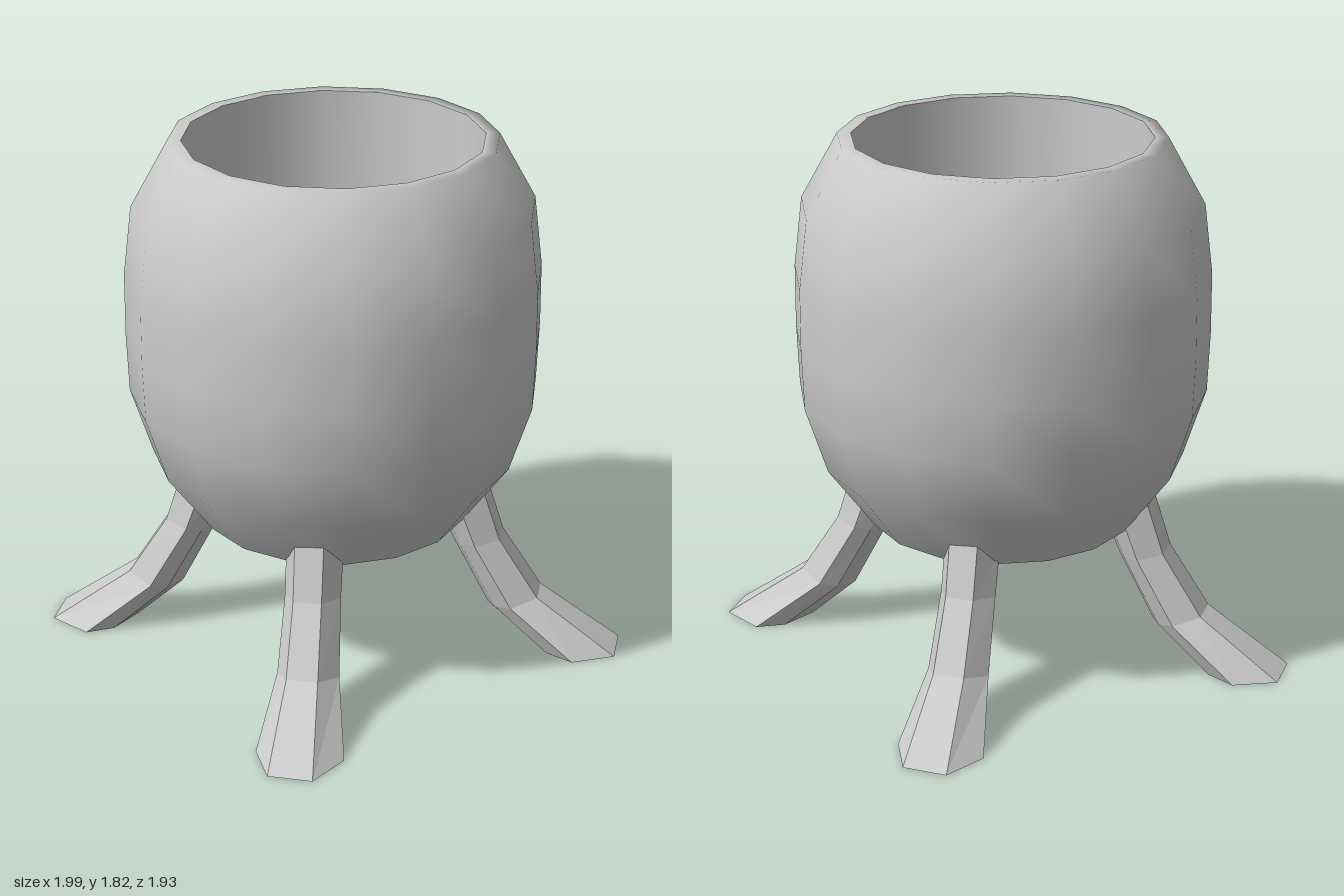
import * as THREE from 'three';

const material = new THREE.MeshStandardMaterial({ color: 0xcccccc });
const flatMaterial = new THREE.MeshStandardMaterial({ color: 0xcccccc, flatShading: true });
const SIDES = 16;

// 16-sided turned surface with a flat side towards each axis
function turned(name, profile) {
  const points = profile.map(([r, y]) => new THREE.Vector2(r, y));
  const mesh = new THREE.Mesh(new THREE.LatheGeometry(points, SIDES, Math.PI / SIDES), material);
  mesh.name = name;
  return mesh;
}

// Bent, flared seven-sided leg pointing along +z, lofted through tilted sections
function legGeometry() {
  // slightly irregular outline: across the leg, outwards
  const outline = [[1, 0.03], [0.41, 0.93], [-0.6, 0.85], [-1, -0.1], [-0.62, -0.7], [-0.1, -1], [0.7, -0.57]];
  // centre z, centre y, half depth z, half depth y, half width
  const sections = [
    [0.437, 0.545, 0.078, 0.05, 0.095],
    [0.487, 0.4, 0.083, 0.015, 0.093],
    [0.613, 0.175, 0.09, 0.027, 0.103],
    [0.83, 0, 0.147, 0, 0.145],
  ];
  const count = outline.length;
  const positions = [];
  const indices = [];
  for (const [cz, cy, dz, dy, w] of sections) {
    for (const [t, s] of outline) positions.push(w * t, cy + dy * s, cz + dz * s);
  }
  const last = count * (sections.length - 1);
  for (let s = 0; s < last; s += count) {
    for (let k = 0; k < count; k++) {
      const n = (k + 1) % count;
      indices.push(s + k, s + n, s + count + n, s + k, s + count + n, s + count + k);
    }
  }
  // End caps
  for (let k = 1; k < count - 1; k++) {
    indices.push(0, k + 1, k);
    indices.push(last, last + k, last + k + 1);
  }
  const indexed = new THREE.BufferGeometry();
  indexed.setAttribute('position', new THREE.Float32BufferAttribute(positions, 3));
  indexed.setIndex(indices);
  const geometry = indexed.toNonIndexed();
  geometry.computeVertexNormals();
  return geometry;
}

export function createModel() {
  const model = new THREE.Group();
  model.name = 'footedPot';

  // Hollow pot: the outer wall blends into the rim, the cavity is a straight tapered well
  const pot = new THREE.Group();
  pot.name = 'pot';
  pot.position.z = -0.005;
  pot.add(
    turned('outerWall', [[0.455, 0.498], [0.612, 0.715], [0.685, 0.945], [0.692, 1.15],
      [0.69, 1.36], [0.661, 1.595], [0.538, 1.815], [0.493, 1.815]]),
    turned('innerWall', [[0.493, 1.815], [0.472, 0.6]]),
    turned('floor', [[0.472, 0.6], [0, 0.6]]),
    turned('base', [[0, 0.498], [0.455, 0.498]]),
  );
  model.add(pot);

  // Four legs, the side pair reaching slightly further out
  const geometry = legGeometry();
  ['frontLeg', 'leftLeg', 'backLeg', 'rightLeg'].forEach((name, i) => {
    const leg = new THREE.Mesh(geometry, flatMaterial);
    const side = i % 2 === 1;
    leg.name = name;
    leg.rotation.y = (i * Math.PI) / 2;
    leg.scale.z = side ? 1.03 : 1;
    leg.position.set(side ? 0 : -0.01, 0, side ? -0.01 : 0);
    model.add(leg);
  });
  return model;
}
